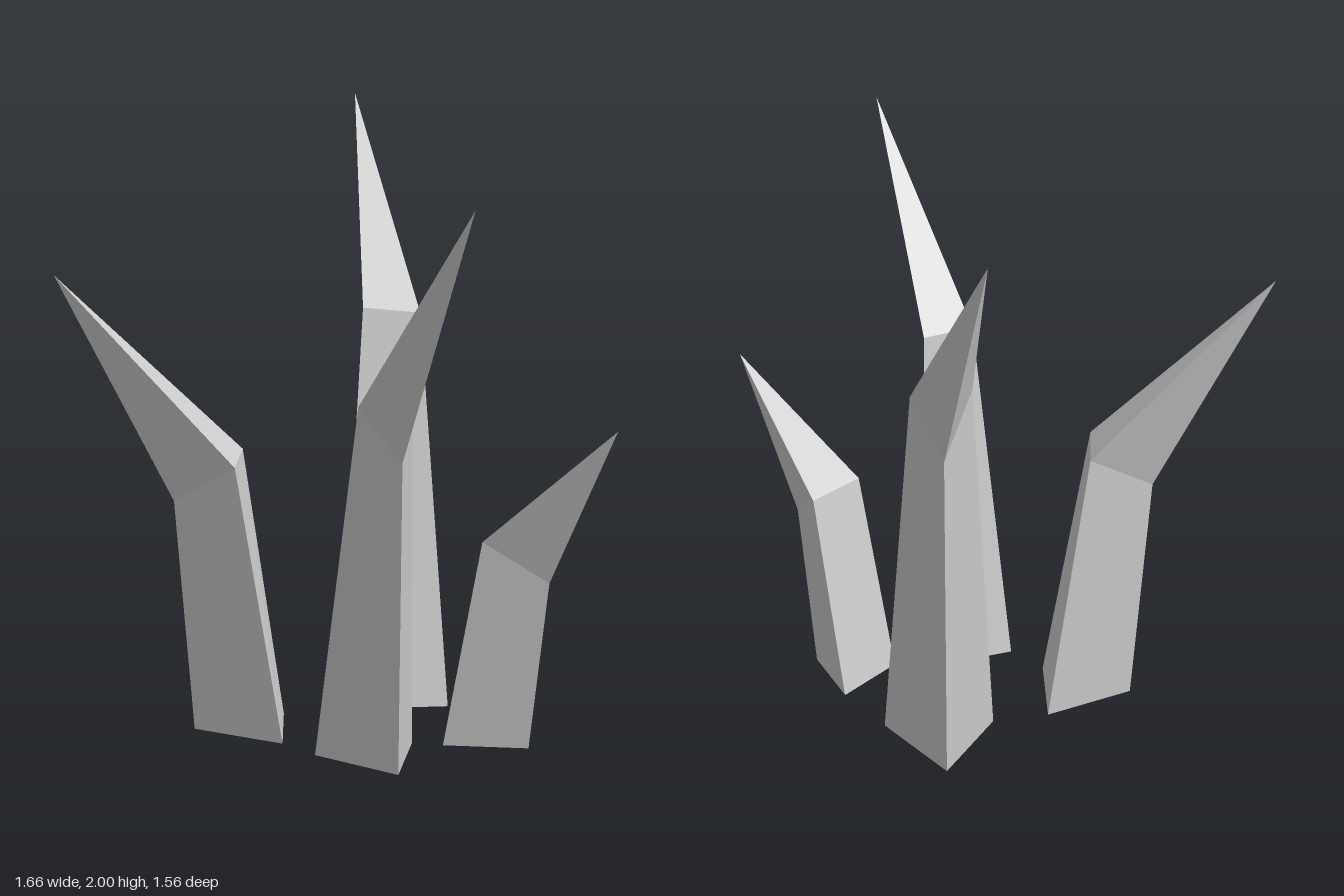
import * as THREE from 'three';

// Each blade: three-sided base ring, three-sided bend ring and a pointed tip.
// Rings run counterclockwise seen from above: two inner corners, then the outer one.
const BLADES = [
  {
    name: 'tallBackBlade',
    base: [[-0.25, 0, 0.06], [0.02, 0, -0.19], [-0.33, 0, -0.3]],
    bend: [[-0.355, 1.33, -0.21], [-0.21, 1.31, -0.34], [-0.38, 1.15, -0.385]],
    tip: [-0.835, 2, -0.78],
  },
  {
    name: 'frontLeftBlade',
    base: [[0.17, 0, 0.21], [0, 0, 0.5], [0.335, 0, 0.5]],
    bend: [[0.315, 1.15, 0.4], [0.22, 1.165, 0.55], [0.39, 1.01, 0.55]],
    tip: [0.81, 1.83, 0.76],
  },
  {
    name: 'frontRightBlade',
    base: [[-0.16, 0, 0.47], [-0.37, 0, 0.21], [-0.495, 0, 0.52]],
    bend: [[-0.285, 0.91, 0.545], [-0.435, 0.92, 0.33], [-0.525, 0.775, 0.57]],
    tip: [-0.835, 1.51, 0.78],
  },
  {
    name: 'shortSideBlade',
    base: [[0.26, 0, -0.11], [0.265, 0, 0.17], [0.505, 0, 0.03]],
    bend: [[0.41, 0.685, -0.085], [0.4, 0.69, 0.145], [0.58, 0.56, 0.03]],
    tip: [0.83, 1.08, 0.03],
  },
];

function bladeGeometry({ base, bend, tip }) {
  const index = [0, 2, 1]; // underside
  for (let i = 0; i < 3; i++) {
    const j = (i + 1) % 3;
    index.push(i, j, j + 3, i, j + 3, i + 3); // stem side
    index.push(i + 3, j + 3, 6); // point side
  }
  const geometry = new THREE.BufferGeometry();
  geometry.setAttribute('position', new THREE.Float32BufferAttribute([...base, ...bend, tip].flat(), 3));
  geometry.setIndex(index);
  const faceted = geometry.toNonIndexed();
  faceted.computeVertexNormals();
  return faceted;
}

export function createModel() {
  const group = new THREE.Group();
  group.name = 'grassTuft';
  const material = new THREE.MeshStandardMaterial({ color: 0xcccccc, flatShading: true });
  for (const blade of BLADES) {
    const mesh = new THREE.Mesh(bladeGeometry(blade), material);
    mesh.name = blade.name;
    group.add(mesh);
  }
  return group;
}
